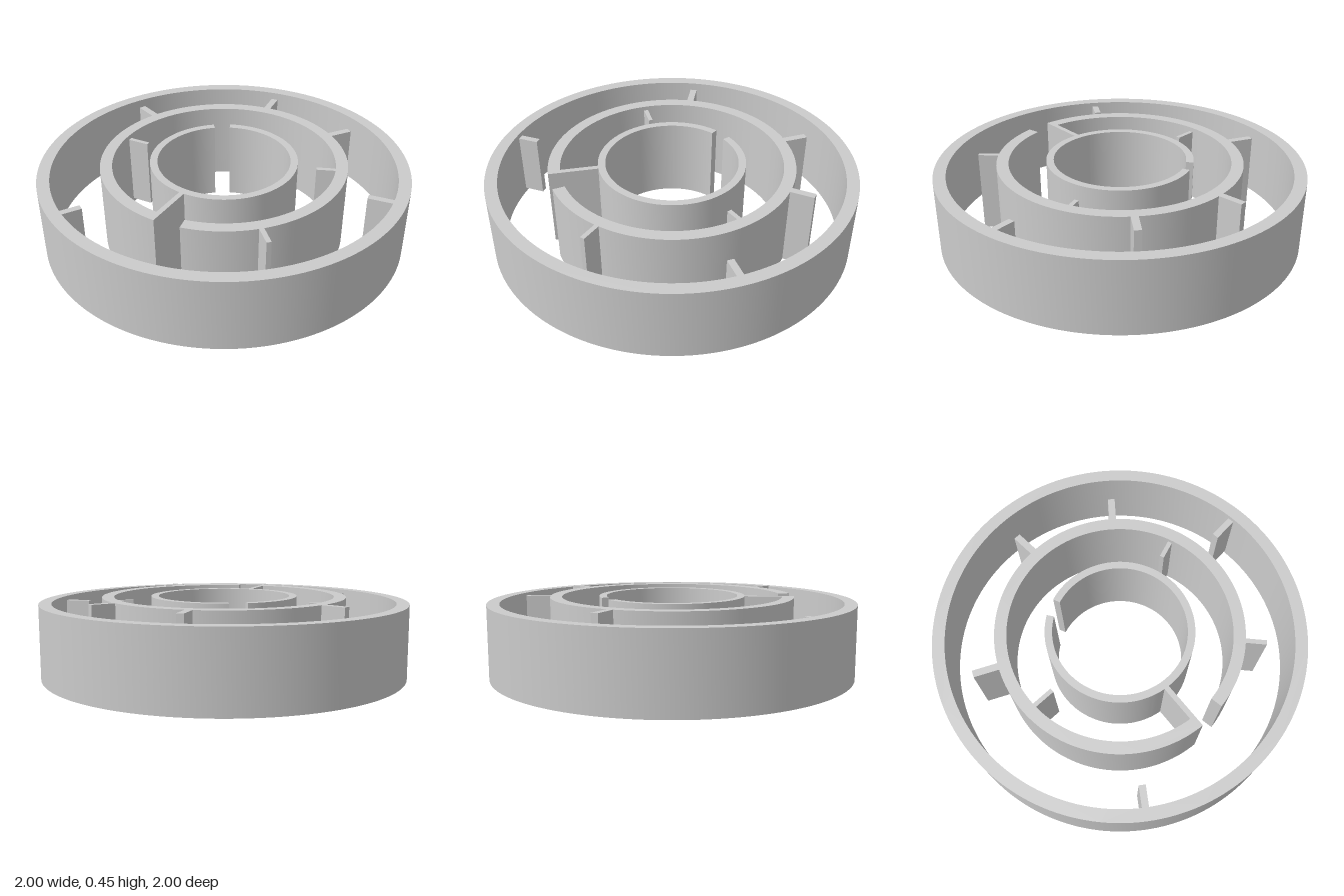
import * as THREE from 'three';
import { toCreasedNormals } from 'three/addons/utils/BufferGeometryUtils.js';

const rad = THREE.MathUtils.degToRad;

export function createModel() {
  const model = new THREE.Group();
  const material = new THREE.MeshStandardMaterial({ color: 0xcccccc });

  const add = (name, geometry) => {
    const mesh = new THREE.Mesh(geometry, material);
    mesh.name = name;
    model.add(mesh);
  };

  // Ring wall standing between two heights; angles run from +x towards +z.
  // Without angles the ring is closed.
  const ring = (name, inner, outer, bottom, top, from, to) => {
    const shape = new THREE.Shape();
    if (from === undefined) {
      shape.absarc(0, 0, outer, 0, Math.PI * 2);
      shape.holes.push(new THREE.Path().absarc(0, 0, inner, 0, Math.PI * 2, true));
    } else {
      shape.absarc(0, 0, outer, rad(from), rad(to), false);
      shape.absarc(0, 0, inner, rad(to), rad(from), true);
      shape.closePath();
    }
    const geometry = new THREE.ExtrudeGeometry(shape, {
      depth: top - bottom, bevelEnabled: false, curveSegments: 96,
    });
    geometry.rotateX(Math.PI / 2).translate(0, top, 0);
    add(name, toCreasedNormals(geometry, rad(30)));
  };

  // Upright radial plate between two radii.
  const plate = (name, angle, r0, r1, width, bottom, top, side = 0) => {
    const geometry = new THREE.BoxGeometry(r1 - r0, top - bottom, width);
    geometry.translate((r0 + r1) / 2, (bottom + top) / 2, side);
    geometry.rotateY(-rad(angle));
    add(name, geometry);
  };

  // Three concentric walls, the inner two with a gap
  ring('outerRing', 0.933, 1, 0.025, 0.425);
  ring('middleRing', 0.602, 0.667, 0, 0.45, 75.6, 423.5);
  ring('innerRing', 0.36, 0.4, 0, 0.45, 230.5, 576.7);

  // Wall joining the inner ring to the end of the middle ring
  plate('connectingWall', 75.6, 0.385, 0.666, 0.028, 0, 0.45, 0.014);

  // Stubs inside the outer ring
  for (const [angle, tip] of [[-22.9, 0.796], [106.8, 0.818]]) {
    plate('outerRingStub', angle, tip, 0.945, 0.036, 0.05, 0.4);
  }

  // Stubs outside the middle ring
  for (const [angle, tip, width] of [
    [248.7, 0.798, 0.038], [291, 0.795, 0.038], [186.7, 0.803, 0.038], [29.9, 0.778, 0.025],
  ]) {
    plate('middleRingOuterStub', angle, 0.65, tip, width, 0, 0.45);
  }

  // Stubs inside the middle ring
  for (const [angle, tip] of [[-37.8, 0.5], [161.8, 0.481]]) {
    plate('middleRingInnerStub', angle, tip, 0.615, 0.024, 0.025, 0.425);
  }

  return model;
}
